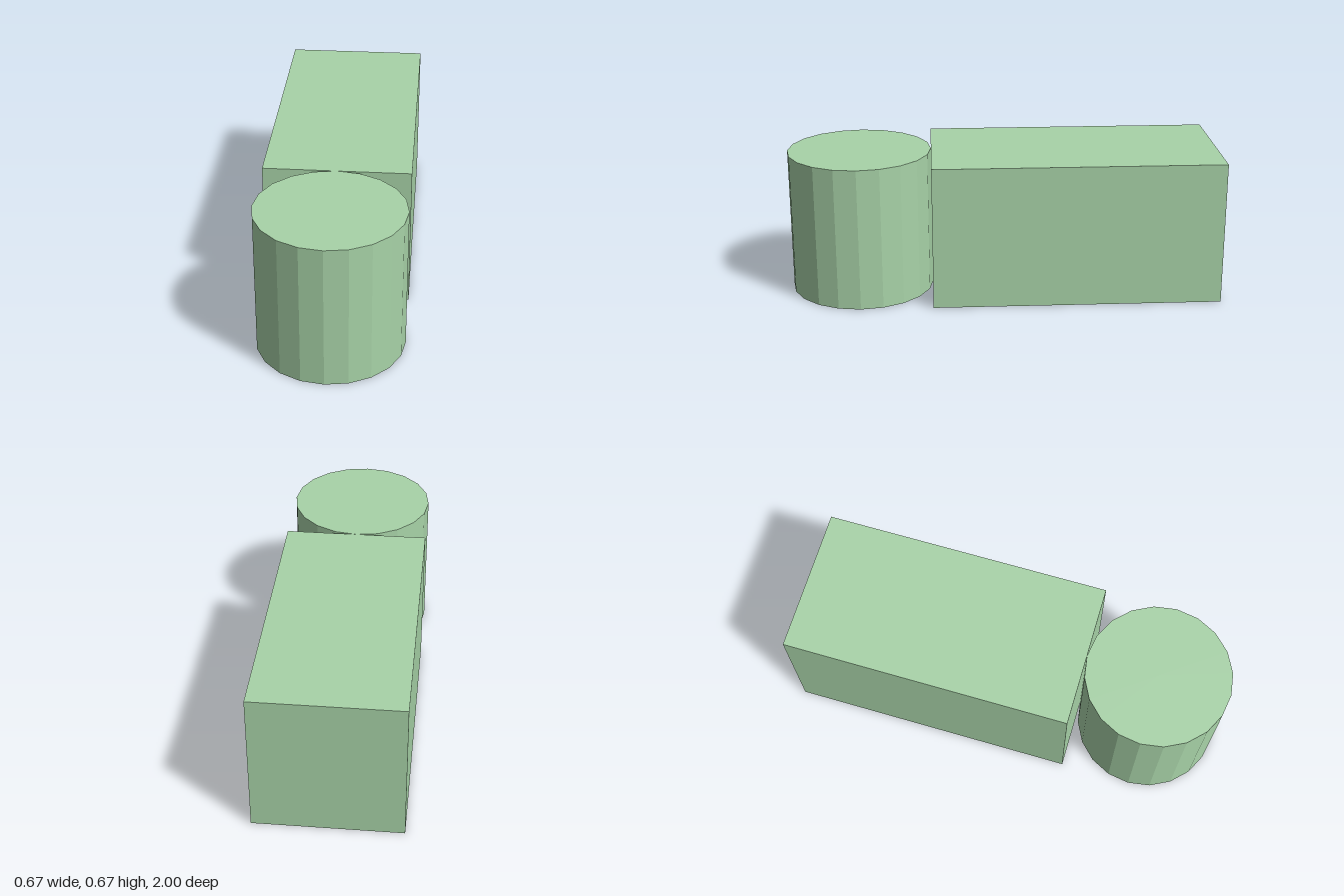
import * as THREE from 'three';

const SIZE = 2 / 3; // shared width and height of both parts

export function createModel() {
  const group = new THREE.Group();
  const material = new THREE.MeshStandardMaterial({ color: 0xa8d3a8, flatShading: true });

  const addPart = (name, geometry, z) => {
    const mesh = new THREE.Mesh(geometry, material);
    mesh.name = name;
    mesh.position.set(0, SIZE / 2, z);
    group.add(mesh);
  };

  // Long rectangular block at the back
  addPart('block', new THREE.BoxGeometry(SIZE, SIZE, SIZE * 2), -1 / 3);

  // Upright 20-sided drum touching the block's front face
  addPart('drum', new THREE.CylinderGeometry(SIZE / 2, SIZE / 2, SIZE, 20), SIZE);

  return group;
}
